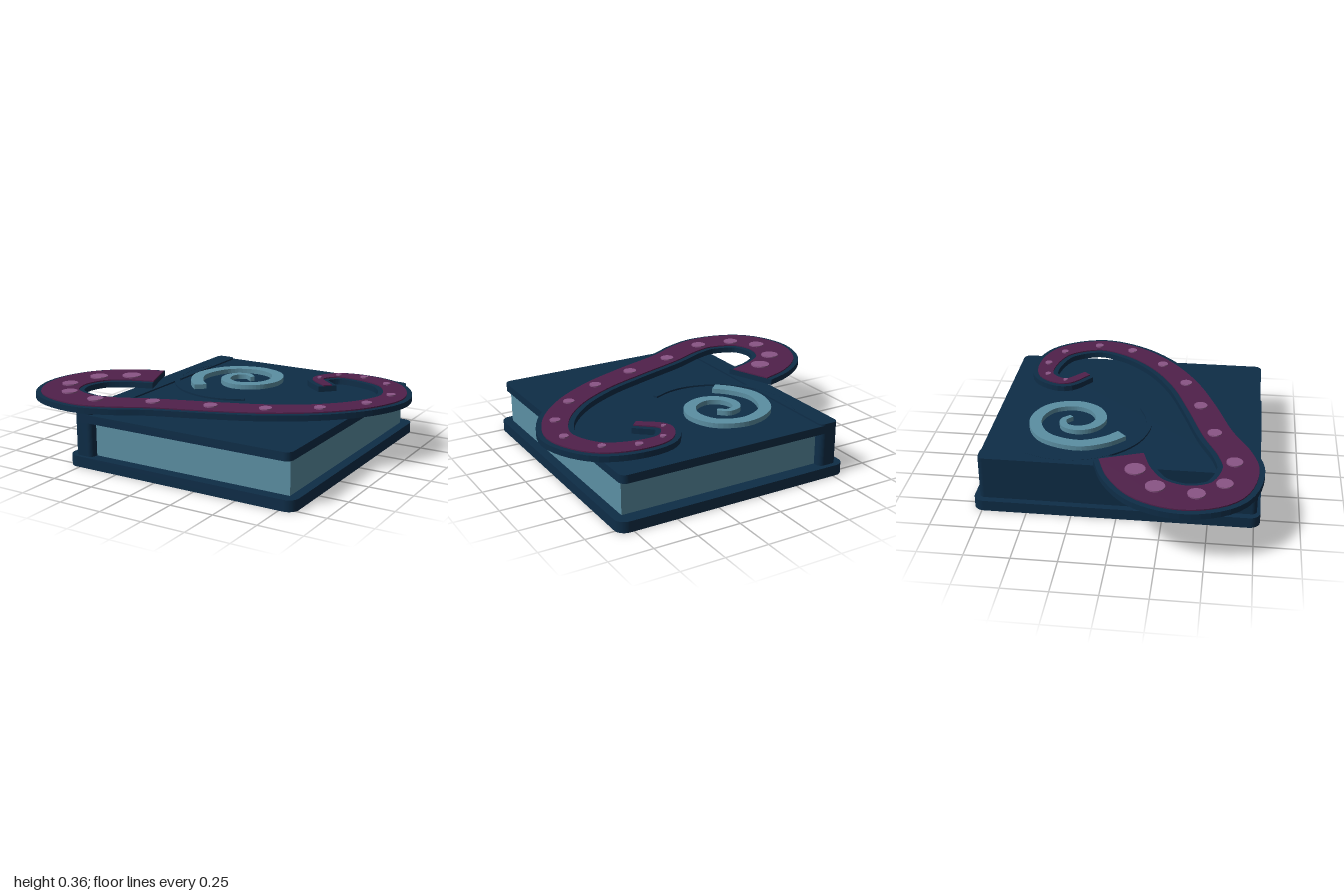
import * as THREE from 'three';

const mat = (name, color) => {
  const m = new THREE.MeshStandardMaterial({ color });
  m.name = name;
  return m;
};

// Extrudes a plan shape (x, -z) upward from y0 to y1
function slab(shape, y0, y1, curveSegments = 8) {
  const g = new THREE.ExtrudeGeometry(shape, { depth: y1 - y0, bevelEnabled: false, curveSegments });
  return g.rotateX(-Math.PI / 2).translate(0, y0, 0);
}

// Rectangle in plan with rounded corners
function roundedPlan(x0, x1, z0, z1, r) {
  const s = new THREE.Shape();
  s.absarc(x1 - r, -z0 - r, r, 0, Math.PI / 2);
  s.absarc(x0 + r, -z0 - r, r, Math.PI / 2, Math.PI);
  s.absarc(x0 + r, -z1 + r, r, Math.PI, Math.PI * 1.5);
  s.absarc(x1 - r, -z1 + r, r, Math.PI * 1.5, Math.PI * 2);
  return s;
}

// Tapered band following points [x, z, halfWidth], widened by a rim
function ribbonPlan(points, steps, rim = 0) {
  const curve = new THREE.CatmullRomCurve3(points.map(([x, z, w]) => new THREE.Vector3(x, -z, w)));
  const left = [], right = [];
  for (let i = 0; i <= steps; i++) {
    const p = curve.getPoint(i / steps);
    const t = curve.getTangent(i / steps);
    const n = new THREE.Vector2(-t.y, t.x).normalize();
    const w = p.z + rim;
    left.push(new THREE.Vector2(p.x + n.x * w, p.y + n.y * w));
    right.unshift(new THREE.Vector2(p.x - n.x * w, p.y - n.y * w));
  }
  return new THREE.Shape([...left, ...right]);
}

export function createModel() {
  const navy = mat('navy cover', 0x0e2d47);
  const paper = mat('blue paper', 0x5b8fa3);
  const purple = mat('purple skin', 0x50214b);
  const mauve = mat('mauve sucker', 0x8a5585);

  const model = new THREE.Group();
  model.name = 'tentacleBook';
  const add = (name, geometry, material, parent = model) => {
    const mesh = new THREE.Mesh(geometry, material);
    mesh.name = name;
    parent.add(mesh);
    return mesh;
  };

  // Book: covers, spine and page block
  add('backCover', slab(roundedPlan(-0.58, 0.834, -0.8, 0.785, 0.06), 0, 0.062), navy);
  add('frontCover', slab(roundedPlan(-0.535, 0.8, -0.77, 0.765, 0.04), 0.255, 0.302), navy);
  add('spine', slab(roundedPlan(-0.54, -0.425, -0.77, 0.765, 0.03), 0.06, 0.311), navy);
  const pages = add('pages', new THREE.BoxGeometry(1.22, 0.2, 1.44), paper);
  pages.position.set(0.17, 0.158, 0);

  // Spiral ornament and the thin arc around it
  const spiral = [
    [-0.21, -0.01, 0.037], [-0.285, -0.09, 0.037], [-0.345, -0.24, 0.036], [-0.275, -0.445, 0.035],
    [-0.1, -0.525, 0.035], [0.06, -0.465, 0.035], [0.115, -0.32, 0.035], [0.065, -0.2, 0.034],
    [-0.05, -0.15, 0.032], [-0.14, -0.19, 0.029], [-0.175, -0.275, 0.026], [-0.15, -0.345, 0.022],
    [-0.085, -0.365, 0.018], [-0.035, -0.325, 0.014],
  ];
  add('spiral', slab(ribbonPlan(spiral, 90), 0.302, 0.33), paper);
  const arc = [
    [-0.445, -0.51, 0.012], [-0.485, -0.38, 0.014], [-0.475, -0.2, 0.016], [-0.4, -0.05, 0.016],
    [-0.27, 0.07, 0.016], [-0.1, 0.125, 0.016], [0.03, 0.115, 0.015], [0.14, 0.07, 0.013],
  ];
  add('spiralArc', slab(ribbonPlan(arc, 40), 0.3, 0.312), navy);

  // Tentacle: navy backing, purple skin and suckers
  const tentacle = new THREE.Group();
  tentacle.name = 'tentacle';
  model.add(tentacle);
  const path = [
    [-0.49, 0.02, 0.125], [-0.65, 0.08, 0.123], [-0.8, 0.2, 0.117], [-0.86, 0.4, 0.112],
    [-0.78, 0.59, 0.107], [-0.56, 0.665, 0.097], [-0.4, 0.63, 0.093], [-0.19, 0.53, 0.087],
    [0.12, 0.42, 0.085], [0.41, 0.3, 0.08], [0.66, 0.135, 0.075], [0.835, -0.07, 0.072],
    [0.9, -0.28, 0.068], [0.79, -0.5, 0.064], [0.59, -0.575, 0.056], [0.43, -0.555, 0.043],
    [0.36, -0.43, 0.033], [0.48, -0.31, 0.026],
  ];
  add('tentacleBacking', slab(ribbonPlan(path, 100, 0.03), 0.313, 0.346), navy, tentacle);
  add('tentacleSkin', slab(ribbonPlan(path, 100), 0.346, 0.353), purple, tentacle);

  const suckers = [
    [-0.625, 0.11, 0.056], [-0.78, 0.23, 0.053], [-0.825, 0.445, 0.047], [-0.715, 0.585, 0.045],
    [-0.495, 0.63, 0.045], [-0.19, 0.51, 0.04], [0.125, 0.415, 0.039], [0.41, 0.31, 0.035],
    [0.655, 0.147, 0.032], [0.835, -0.067, 0.029], [0.885, -0.29, 0.026], [0.77, -0.5, 0.022],
    [0.595, -0.575, 0.022], [0.44, -0.55, 0.017], [0.37, -0.43, 0.014],
  ];
  for (const [x, z, r] of suckers) {
    add('sucker', new THREE.CylinderGeometry(r, r, 0.009, 20), mauve, tentacle).position.set(x, 0.3565, z);
  }
  return model;
}
